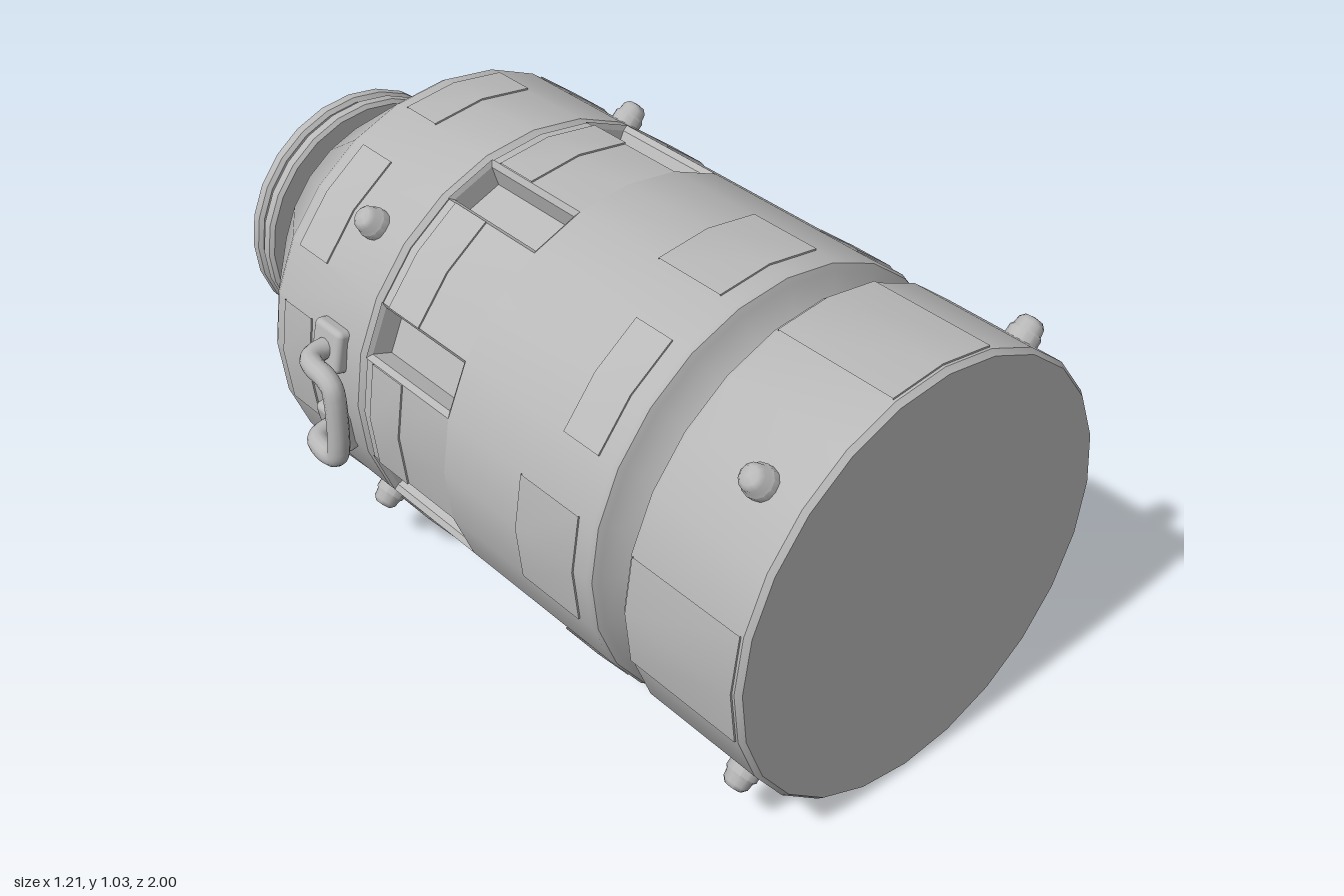
import * as THREE from 'three';
import { toCreasedNormals } from 'three/addons/utils/BufferGeometryUtils.js';
import { RoundedBoxGeometry } from 'three/addons/geometries/RoundedBoxGeometry.js';

const R = 0.51, SIDES = 24, STEP = Math.PI / 12;

export function createModel() {
  const model = new THREE.Group();
  model.name = 'canister';
  const body = new THREE.Group();
  body.name = 'canisterBody';
  body.position.y = 0.52;
  model.add(body);

  const grey = new THREE.MeshStandardMaterial({ color: 0xb8b8b8, side: THREE.DoubleSide });
  grey.name = 'grey metal';

  function add(name, geometry, parent = body) {
    const mesh = new THREE.Mesh(geometry, grey);
    mesh.name = name;
    parent.add(mesh);
    return mesh;
  }

  // Turned part around the z axis; profile is [radius, z] from back to front.
  // The sector is centred on angle mid, measured from +x towards +y.
  function turned(profile, sides = SIDES, mid = null) {
    const pts = profile.map(([r, z]) => new THREE.Vector2(r, z));
    const length = mid === null ? Math.PI * 2 : sides * STEP;
    const start = mid === null ? 0 : mid + Math.PI / 2 - length / 2;
    const g = new THREE.LatheGeometry(pts, sides, start, length);
    g.rotateX(Math.PI / 2);
    return toCreasedNormals(g, 0.5);
  }

  // Front drum, groove and plain part of the middle drum
  add('frontDrum', turned([
    [0.42, 0.625], [0.452, 0.66], [0.49, 0.668], [0.505, 0.674], [R, 0.685],
    [R, 0.988], [0.5, 1], [0, 1],
  ]));
  add('middleDrum', turned([
    [R, 0.1], [R, 0.565], [0.505, 0.576], [0.49, 0.583], [0.455, 0.595], [0.42, 0.625],
  ]));

  // Slotted end of the middle drum: eight wall panels and eight recesses
  for (let i = 0; i < 8; i++) {
    const a = i * Math.PI / 4;
    add('slotWall', turned([[0.495, -0.2], [R, -0.19], [R, 0.1]], 2, a));
    add('slotRecess', recess(a + Math.PI / 8));
  }

  // Rear drum with its cone, and the neck
  add('rearDrum', turned([
    [0.2, -0.81], [0.3, -0.81], [0.312, -0.803], [0.503, -0.548], [R, -0.535],
    [R, -0.215], [0.5, -0.202], [0.43, -0.2],
  ]));
  add('neck', turned([[0.225, -0.96], [0.225, -0.8]]));

  // Paired flanges and end cap
  for (const z of [-0.955, -0.907]) {
    add('flange', turned([
      [0.1, z], [0.3, z], [0.31, z + 0.008], [0.31, z + 0.03], [0.3, z + 0.038], [0.1, z + 0.038],
    ]));
  }
  add('endCap', turned([[0, -1], [0.22, -1], [0.226, -0.994], [0.226, -0.95]]));
  for (let i = 0; i < 8; i++) {
    const a = i * Math.PI / 4;
    const bolt = add('flangeBolt', new THREE.SphereGeometry(0.021, 12, 8));
    bolt.position.set(0.268 * Math.cos(a), 0.268 * Math.sin(a), -0.958);
  }

  // Thin plates laid on the drums
  function plate(mid, z0, z1) {
    const r = R + 0.004;
    add('plate', turned([[R - 0.006, z0], [r, z0], [r, z1], [R - 0.006, z1]], 2, mid));
  }
  for (let i = 0; i < 4; i++) {
    const a = i * Math.PI / 2, d = a + Math.PI / 4;
    for (const z of [0.42, -0.165, -0.505]) plate(d, z, z + 0.105);
    plate(a, 0.685, 0.982);
    plate(a, 0.345, 0.525);
    plate(a, -0.165, -0.06);
    plate(a, -0.505, -0.4);

    // Studs on the diagonals
    for (const z of [0.885, -0.32]) {
      const stud = new THREE.LatheGeometry([
        [0.036, -0.02], [0.036, 0.02], [0.031, 0.026], [0.029, 0.042], [0.02, 0.052], [0, 0.055],
      ].map(([r, y]) => new THREE.Vector2(r, y)), 12);
      const mesh = add('stud', toCreasedNormals(stud, 0.8));
      mesh.position.set(0.507 * Math.cos(d), 0.507 * Math.sin(d), z);
      mesh.rotation.z = d - Math.PI / 2;
    }
  }

  // Side handles, each a bent bar on two pads
  for (const s of [1, -1]) {
    const handle = new THREE.Group();
    handle.name = s > 0 ? 'leftHandle' : 'rightHandle';
    body.add(handle);
    const half = [
      [0.49, 0.108, -0.315], [0.545, 0.108, -0.313], [0.57, 0.108, -0.297],
      [0.58, 0.108, -0.265], [0.582, 0.106, -0.225], [0.582, 0.09, -0.2], [0.582, 0.06, -0.192],
    ];
    const path = [...half, ...half.map(([x, y, z]) => [x, -y, z]).reverse()]
      .map(([x, y, z]) => new THREE.Vector3(s * x, y, z));
    add('handleBar', new THREE.TubeGeometry(
      new THREE.CatmullRomCurve3(path, false, 'centripetal'), 48, 0.025, 12), handle);
    for (const t of [1, -1]) {
      const pad = add('handlePad', new RoundedBoxGeometry(0.045, 0.105, 0.1, 2, 0.014), handle);
      pad.position.set(s * 0.5, t * 0.108, -0.315);
      pad.rotation.z = s * t * 0.215;
    }
  }
  return model;
}

// Recess sunk into one flat of the drum: rim, bevel, walls and floor
function recess(angle) {
  const flat = R * Math.cos(STEP / 2), half = R * Math.sin(STEP / 2);
  const c = Math.cos(angle), s = Math.sin(angle);
  const loops = [
    [flat, half, -0.195, 0.1], [flat - 0.012, half - 0.011, -0.19, 0.086],
    [flat - 0.06, half - 0.016, -0.186, 0.072],
  ].map(([d, w, z0, z1]) => [[-w, z0], [w, z0], [w, z1], [-w, z1]]
    .map(([t, z]) => [c * d - s * t, s * d + c * t, z]));
  const pos = [];
  const quad = (p, q, r, t) => pos.push(...p, ...q, ...r, ...p, ...r, ...t);
  for (let k = 0; k < 2; k++) {
    for (let i = 0; i < 4; i++) {
      const j = (i + 1) % 4;
      quad(loops[k][i], loops[k][j], loops[k + 1][j], loops[k + 1][i]);
    }
  }
  quad(...loops[2]);
  const g = new THREE.BufferGeometry();
  g.setAttribute('position', new THREE.Float32BufferAttribute(pos, 3));
  g.computeVertexNormals();
  return g;
}
